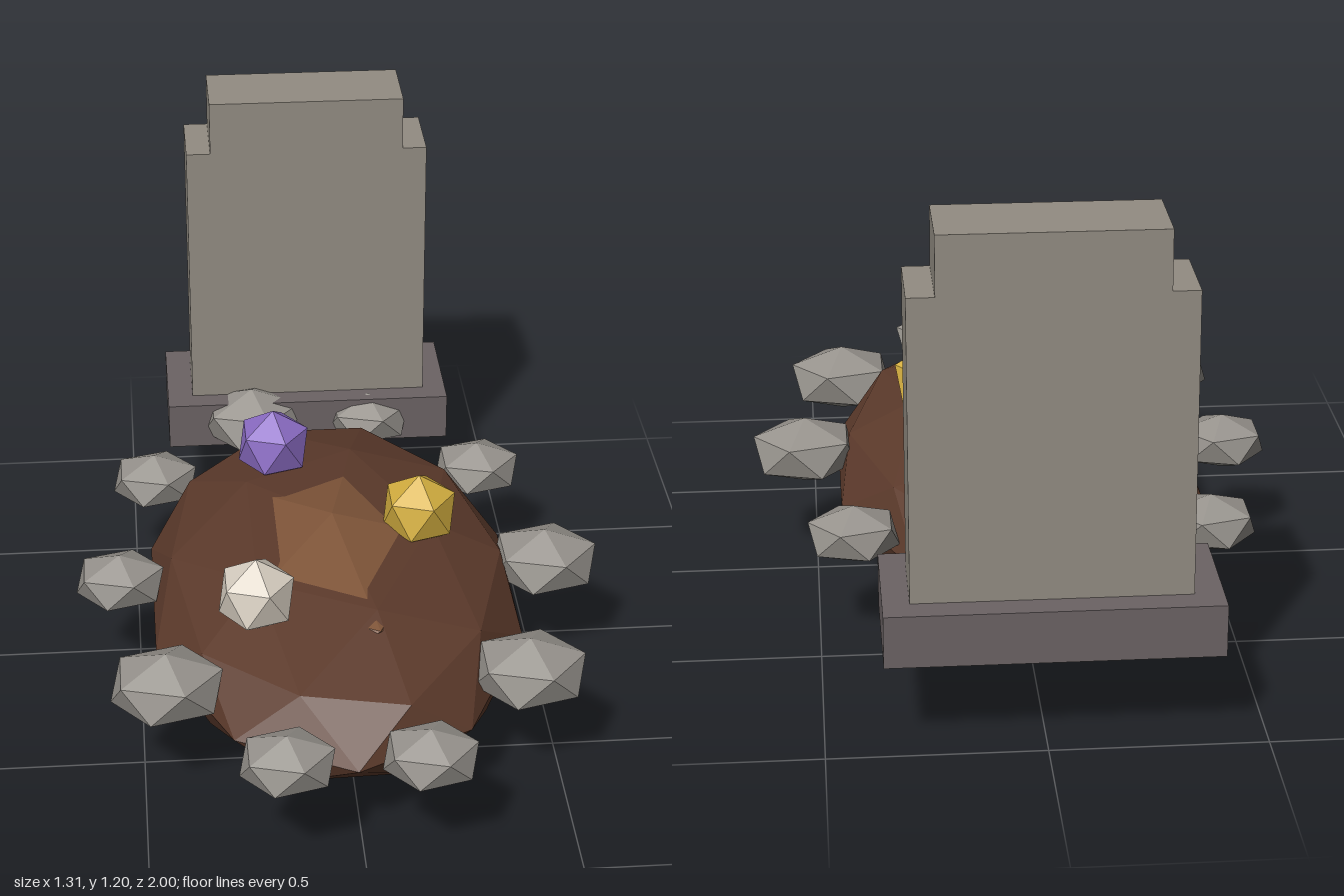
import * as THREE from 'three';

const mat = (name, color) => {
  const m = new THREE.MeshStandardMaterial({ color, flatShading: true });
  m.name = name;
  return m;
};

export function createModel() {
  const soil = mat('dark soil', 0x5c3a2b);
  const freshSoil = mat('fresh soil', 0x7f5539);
  const slate = mat('headstone grey', 0x928c82);
  const plinth = mat('base grey', 0x6b6364);
  const rock = mat('rock grey', 0x96928c);
  const purple = mat('purple flower', 0x8b6cc4);
  const yellow = mat('yellow flower', 0xd4af40);
  const white = mat('white flower', 0xd8cfc2);

  const model = new THREE.Group();
  model.name = 'grave';

  function add(name, geometry, material, x, y, z) {
    const mesh = new THREE.Mesh(geometry, material);
    mesh.name = name;
    mesh.position.set(x, y, z);
    model.add(mesh);
    return mesh;
  }

  // Faceted ball with a corner at the top, stretched to three radii
  function blob(name, detail, material, [x, y, z], [rx, ry, rz]) {
    const g = new THREE.IcosahedronGeometry(1, detail);
    g.rotateZ(-Math.atan(2 / (1 + Math.sqrt(5))));
    g.scale(rx, ry, rz);
    g.computeVertexNormals();
    return add(name, g, material, x, y, z);
  }

  // Earth mound and the lighter patch on top
  blob('mound', 1, soil, [-0.012, 0.223, 0.11], [0.474, 0.222, 0.78]);
  blob('freshSoilPatch', 0, freshSoil, [-0.015, 0.335, 0.14], [0.295, 0.135, 0.505]);

  // Ring of border stones: x, z, size
  const stones = [
    [-0.445, -0.4, 0.12], [0.415, -0.4, 0.12],
    [-0.545, 0.1, 0.12], [0.525, 0.1, 0.143],
    [-0.442, 0.595, 0.146], [0.42, 0.595, 0.146],
    [-0.178, 0.91, 0.12], [0.15, 0.91, 0.12],
    [-0.17, -0.7, 0.146], [0.15, -0.7, 0.12],
  ];
  stones.forEach(([x, z, s], i) =>
    blob(`borderStone${i + 1}`, 0, rock, [x, s > 0.13 ? 0.287 : 0.276, z], [s * 1.02, s * 0.6, s * 0.9]));

  // Flower heads
  const flower = [0.1, 0.096, 0.103];
  blob('purpleFlower', 0, purple, [-0.138, 0.46, -0.24], flower);
  blob('yellowFlower', 0, yellow, [0.203, 0.46, 0.12], flower);
  blob('whiteFlower', 0, white, [-0.222, 0.46, 0.485], flower);

  // Headstone base
  add('headstoneBase', new THREE.BoxGeometry(0.765, 0.125, 0.33), plinth, -0.016, 0.283, -0.835);

  // Headstone slab with stepped shoulders
  const half = [[0.318, 0], [0.318, 0.73], [0.255, 0.73], [0.255, 0.87]];
  const outline = [...half, ...half.slice().reverse().map(([x, y]) => [-x, y])];
  const shape = new THREE.Shape(outline.map(([x, y]) => new THREE.Vector2(x, y)));
  const slab = new THREE.ExtrudeGeometry(shape, { depth: 0.206, bevelEnabled: false });
  add('headstone', slab, slate, -0.013, 0.335, -0.936);

  return model;
}
